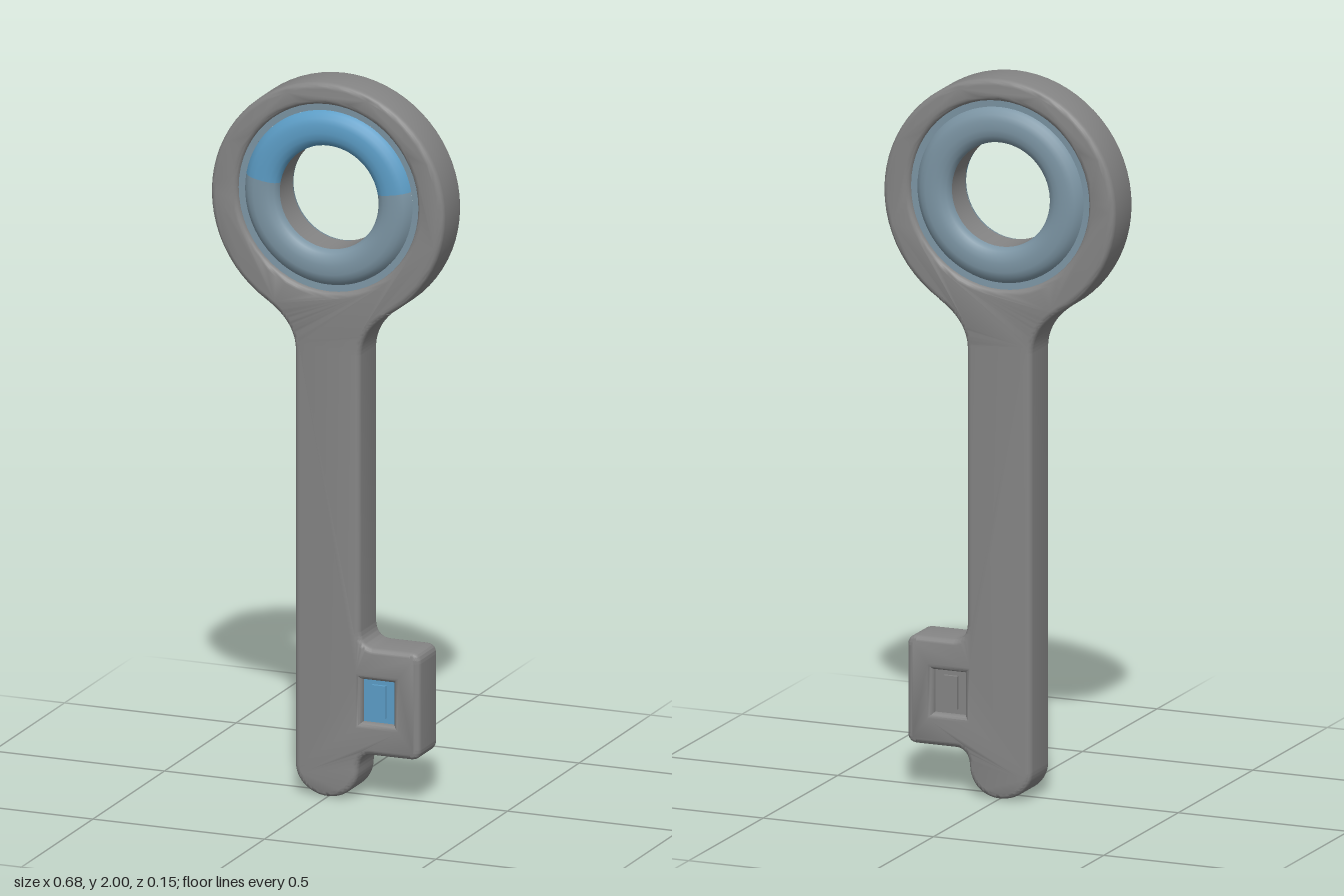
import * as THREE from 'three';
import { toCreasedNormals } from 'three/addons/utils/BufferGeometryUtils.js';

const material = (name, color) => {
  const m = new THREE.MeshStandardMaterial({ color });
  m.name = name;
  return m;
};

export function createModel() {
  const key = new THREE.Group();
  key.name = 'key';
  const grey = material('grey metal', 0x858585);
  const blue = material('bright blue', 0x5c9dc6);
  const dull = material('dull blue', 0x7c95a4);

  const add = (name, geometry, mat, parent = key) => {
    const mesh = new THREE.Mesh(geometry, mat);
    mesh.name = name;
    parent.add(mesh);
    return mesh;
  };

  // Body outline: rounded tip, bit on the left, shaft flaring into the round head
  const headY = 1.66, ringY = 1.677;
  const a = Math.atan2(1.37 - headY, 0.18);
  const outline = new THREE.Shape();
  outline.moveTo(-0.095, 0.085);
  outline.bezierCurveTo(-0.095, 0.035, -0.05, 0, 0, 0);
  outline.bezierCurveTo(0.045, 0, 0.085, 0.03, 0.088, 0.08);
  outline.quadraticCurveTo(0.09, 0.13, 0.13, 0.13);
  outline.lineTo(0.24, 0.13);
  outline.quadraticCurveTo(0.27, 0.13, 0.27, 0.16);
  outline.lineTo(0.27, 0.4);
  outline.quadraticCurveTo(0.27, 0.43, 0.24, 0.43);
  outline.lineTo(0.14, 0.43);
  outline.quadraticCurveTo(0.095, 0.43, 0.095, 0.48);
  outline.lineTo(0.095, 1.24);
  outline.quadraticCurveTo(0.095, 1.317, 0.18, 1.37);
  outline.absarc(0, headY, 0.34, a, Math.PI - a, false);
  outline.quadraticCurveTo(-0.095, 1.317, -0.095, 1.24);
  outline.closePath();

  // Openings for the ring inlay and the bit window
  const ringHole = new THREE.Path();
  ringHole.absarc(0, ringY, 0.262, 0, Math.PI * 2, true);
  const windowHole = new THREE.Path();
  windowHole.moveTo(0.1, 0.22);
  windowHole.lineTo(0.1, 0.34);
  windowHole.lineTo(0.193, 0.34);
  windowHole.lineTo(0.193, 0.22);
  windowHole.closePath();
  outline.holes.push(ringHole, windowHole);

  const bevel = 0.016, half = 0.065;
  const body = new THREE.ExtrudeGeometry(outline, {
    depth: 2 * (half - bevel), curveSegments: 28, bevelEnabled: true,
    bevelThickness: bevel, bevelSize: bevel, bevelOffset: -bevel, bevelSegments: 4,
  });
  body.translate(0, 0, bevel - half);
  add('body', toCreasedNormals(body, 0.7), grey);

  // Ring inlay: profiles run from the outside inwards as [radius, z]
  const lathe = (profile, start = 0, length = Math.PI * 2) =>
    new THREE.LatheGeometry(profile.map(([r, z]) => new THREE.Vector2(r, z)),
      Math.ceil(length * 12), start, length).rotateX(Math.PI / 2);
  const rim = [[0.244, 0.05], [0.237, 0.061], [0.226, 0.07], [0.21, 0.076], [0.185, 0.076],
    [0.168, 0.073], [0.154, 0.065], [0.147, 0.055], [0.145, 0.045]];
  const groove = [[0.282, 0.052], [0.244, 0.05]];
  const rad = Math.PI / 180;

  const front = new THREE.Group();
  front.name = 'frontRing';
  add('frontGroove', lathe(groove), dull, front);
  add('frontRimUpper', lathe(rim, 100 * rad, 160 * rad), blue, front);
  add('frontRimLower', lathe(rim, 260 * rad, 200 * rad), dull, front);

  const back = new THREE.Group();
  back.name = 'backRing';
  add('backGroove', lathe(groove), dull, back);
  add('backRim', lathe(rim), dull, back);
  back.rotation.y = Math.PI;

  for (const ring of [front, back]) {
    ring.position.y = ringY;
    key.add(ring);
  }
  add('headHoleWall', lathe([[0.145, 0.045], [0.145, -0.045]]), grey).position.y = ringY;

  // Sunken window floors with a small raised bar on each side of the bit
  for (const [side, z, mat] of [['front', 1, blue], ['back', -1, grey]]) {
    add(side + 'WindowFloor', new THREE.BoxGeometry(0.115, 0.145, 0.008), mat)
      .position.set(0.1465, 0.28, z * 0.041);
    add(side + 'WindowBar', new THREE.BoxGeometry(0.04, 0.092, 0.009), mat)
      .position.set(0.146, 0.28, z * 0.049);
  }
  return key;
}
